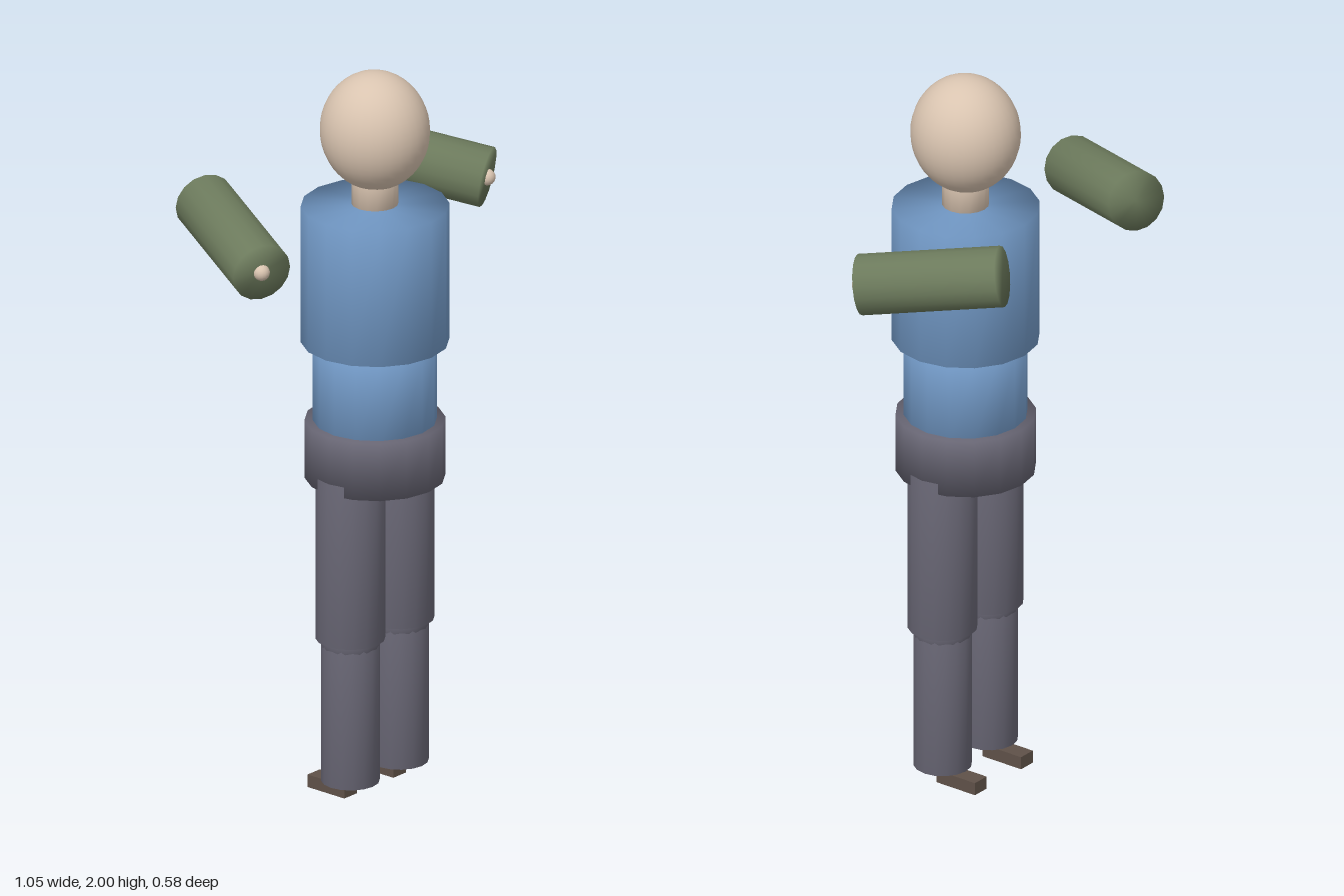
import * as THREE from 'three';
import { mergeVertices } from 'three/addons/utils/BufferGeometryUtils.js';

const mat = (name, color) => {
  const m = new THREE.MeshStandardMaterial({ color });
  m.name = name;
  return m;
};

// Capped cylinder whose rim normals are shared between side and caps
function softCylinder(radius, height) {
  const g = new THREE.CylinderGeometry(radius, radius, height, 16);
  g.deleteAttribute('normal');
  g.deleteAttribute('uv');
  const merged = mergeVertices(g, 1e-4);
  merged.computeVertexNormals();
  return merged;
}

export function createModel() {
  const model = new THREE.Group();
  model.name = 'figure';
  const skin = mat('skin', 0xd9c4b0);
  const shirt = mat('blue shirt', 0x7299c6);
  const sleeve = mat('green sleeve', 0x6c7a5c);
  const trousers = mat('grey trousers', 0x686674);
  const shoe = mat('brown shoe', 0x5f5148);
  const bodyZ = 0.09;

  const add = (name, geometry, material, x, y, z) => {
    const mesh = new THREE.Mesh(geometry, material);
    mesh.name = name;
    mesh.position.set(x, y, z);
    model.add(mesh);
    return mesh;
  };
  const column = (name, material, radius, bottom, top, x = 0) =>
    add(name, softCylinder(radius, top - bottom), material, x, (top + bottom) / 2, bodyZ);

  // Head and trunk
  const head = add('head', new THREE.SphereGeometry(1, 32, 24), skin, 0, 1.84, bodyZ);
  head.scale.set(0.141, 0.16, 0.147);
  column('neck', skin, 0.062, 1.635, 1.74);
  column('chest', shirt, 0.195, 1.25, 1.63);
  column('waist', shirt, 0.163, 1.0, 1.24);
  column('hips', trousers, 0.185, 0.87, 1.03);

  for (const [side, s] of [['left', 1], ['right', -1]]) {
    // Legs and feet
    const legX = s * 0.098;
    column(side + 'Thigh', trousers, 0.092, 0.445, 0.9, legX);
    add(side + 'Knee', new THREE.SphereGeometry(0.079, 24, 16), trousers, legX, 0.445, bodyZ);
    column(side + 'Shin', trousers, 0.077, 0.045, 0.45, legX);
    add(side + 'Foot', new THREE.BoxGeometry(0.05, 0.035, 0.127), shoe, legX, 0.0175, 0.027);

    // Floating arm from its raised back end to its lower front end
    const back = new THREE.Vector3(s * 0.285, 1.635, -0.253);
    const front = new THREE.Vector3(s * 0.451, 1.573, 0.088);
    const mid = back.clone().add(front).multiplyScalar(0.5);
    const arm = add(side + 'Arm', softCylinder(0.081, back.distanceTo(front)), sleeve, mid.x, mid.y, mid.z);
    arm.quaternion.setFromUnitVectors(new THREE.Vector3(0, 1, 0), front.clone().sub(back).normalize());
    add(side + 'Hand', new THREE.SphereGeometry(0.022, 16, 12), skin, front.x, front.y, front.z);
  }
  return model;
}
